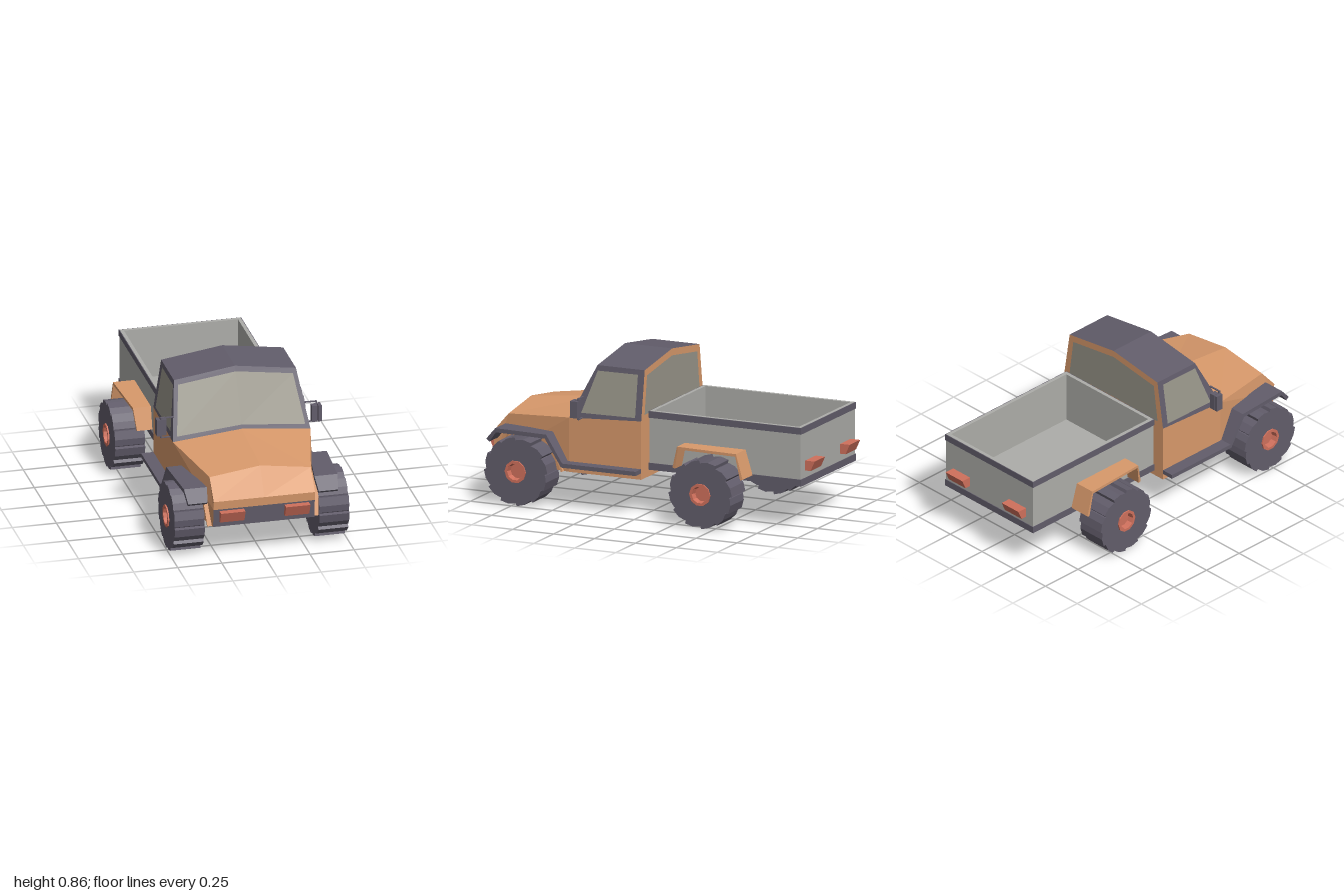
import * as THREE from 'three';

const mat = (name, color) => new THREE.MeshStandardMaterial({ name, color, flatShading: true, side: THREE.DoubleSide });

// Flat polygons (counter-clockwise from outside), optionally mirrored across x = 0
function faces(polys, mirror = true) {
  const pos = [];
  const add = (p) => {
    for (let i = 1; i < p.length - 1; i++) pos.push(...p[0], ...p[i], ...p[i + 1]);
  };
  for (const p of polys) {
    add(p);
    if (mirror) add(p.map(([x, y, z]) => [-x, y, z]).reverse());
  }
  const g = new THREE.BufferGeometry();
  g.setAttribute('position', new THREE.Float32BufferAttribute(pos, 3));
  g.computeVertexNormals();
  return g;
}

// Point on a four-cornered panel
function onPanel([a, b, c, d], [u, v]) {
  return a.map((_, k) => (a[k] * (1 - u) + b[k] * u) * (1 - v) + (d[k] * (1 - u) + c[k] * u) * v);
}

// Folded strip along [z, y, xInner, xOuter] points (z increasing), with thickness t
function strip(path, t) {
  const n = path.length;
  const sections = path.map(([z, y, xi, xo], i) => {
    const a = path[Math.max(0, i - 1)], b = path[Math.min(n - 1, i + 1)];
    const l = Math.hypot(b[0] - a[0], b[1] - a[1]);
    const oz = (b[1] - a[1]) / l * t, oy = -(b[0] - a[0]) / l * t;
    return [[xi, y, z], [xo, y, z], [xo, y + oy, z + oz], [xi, y + oy, z + oz]];
  });
  const polys = [[...sections[0]].reverse(), sections[n - 1]];
  for (let i = 0; i < n - 1; i++) {
    const r = sections[i], f = sections[i + 1];
    for (let k = 0; k < 4; k++) {
      const m = (k + 1) % 4;
      polys.push([f[k], f[m], r[m], r[k]]);
    }
  }
  return faces(polys);
}

// Rectangular ring standing on y0
function ring(x, z, w, y0, y1, zc) {
  const rect = (P, a, b) => new P([[-a, -b], [a, -b], [a, b], [-a, b]].map((p) => new THREE.Vector2(...p)));
  const s = rect(THREE.Shape, x, z);
  s.holes.push(rect(THREE.Path, x - w, z - w));
  return new THREE.ExtrudeGeometry(s, { depth: y1 - y0, bevelEnabled: false }).rotateX(-Math.PI / 2).translate(0, y0, zc);
}

export function createModel() {
  const orange = mat('orange paint', 0xd8996b), dark = mat('dark trim', 0x625d6b);
  const grey = mat('grey bed', 0xadada9), red = mat('red lamps', 0xcf705c), glass = mat('glass', 0x989589);
  const model = new THREE.Group();
  const add = (name, geo, m, parent = model) => {
    const mesh = new THREE.Mesh(geo, m);
    mesh.name = name;
    parent.add(mesh);
    return mesh;
  };
  const box = (name, m, x0, x1, y0, y1, z0, z1, parent) =>
    add(name, new THREE.BoxGeometry(x1 - x0, y1 - y0, z1 - z0).translate((x0 + x1) / 2, (y0 + y1) / 2, (z0 + z1) / 2), m, parent);

  // Cab key points on the left half
  const A = [0.39, 0.507, 0.45], B = [0, 0.546, 0.45], C = [0, 0.86, 0.298], D = [0.346, 0.81, 0.298];
  const E = [0.39, 0.53, 0.01], F = [0.346, 0.81, 0.01], G = [0, 0.86, 0.01], H = [0, 0.53, 0.01];
  const lowRear = [0.39, 0.2, 0.01], lowMid = [0.39, 0.2, 0.45], lowNose = [0.287, 0.2, 0.95];
  const hoodEdge = [0.287, 0.465, 0.87], hoodMid = [0, 0.505, 0.87];
  const nose = [0.287, 0.355, 0.965], bumperTop = [0.287, 0.305, 0.96];
  const mid = ([, y, z]) => [0, y, z];

  add('cabBody', faces([
    [B, hoodMid, hoodEdge, A],
    [mid(nose), nose, hoodEdge, hoodMid],
    [mid(bumperTop), bumperTop, nose, mid(nose)],
    [lowMid, lowRear, E, A],
    [lowNose, lowMid, A, hoodEdge, nose, bumperTop],
    [lowRear, mid(lowRear), H, E],
    [mid(lowRear), lowRear, lowMid, lowNose, mid(lowNose)],
  ]), orange);
  add('frontBumper', faces([[mid(lowNose), lowNose, bumperTop, mid(bumperTop)]]), dark);
  add('roof', faces([[C, D, F, G]]), dark);

  // Windows: a frame ring around a glass pane, both on the same panel
  const window = (name, quad, uv, frameMat) => {
    const inner = uv.map((p) => onPanel(quad, p));
    const frame = [];
    for (let i = 0; i < 4; i++) {
      const j = (i + 1) % 4;
      if (quad[i][0] === 0 && quad[j][0] === 0) continue;
      frame.push([quad[i], quad[j], inner[j], inner[i]]);
    }
    add(name + 'Frame', faces(frame), frameMat);
    add(name + 'Glass', faces([inner]), glass);
  };
  window('windshield', [B, A, D, C], [[0, 0.065], [0.94, 0.075], [0.93, 0.91], [0, 0.91]], dark);
  window('sideWindow', [A, E, F, D], [[0.13, 0.1], [0.91, 0.06], [0.87, 0.9], [0.06, 0.9]], dark);
  window('rearWindow', [E, H, G, F], [[0.1, 0.1], [1, 0.1], [1, 0.88], [0.1, 0.86]], orange);

  // Running boards rising into the front fenders, with painted arches below
  add('frontFenders', strip([
    [0.01, 0.26, 0.385, 0.46], [0.46, 0.26, 0.385, 0.46], [0.56, 0.412, 0.355, 0.455],
    [0.88, 0.412, 0.305, 0.435], [0.94, 0.345, 0.315, 0.425],
  ], 0.024), dark);
  add('frontArches', strip([
    [0.485, 0.2, 0.37, 0.4], [0.58, 0.385, 0.35, 0.38], [0.86, 0.385, 0.28, 0.33], [0.935, 0.2, 0.28, 0.315],
  ], 0.012), orange);
  add('rearFenders', strip([
    [-0.648, 0.285, 0.34, 0.47], [-0.605, 0.425, 0.34, 0.465], [-0.235, 0.425, 0.34, 0.445], [-0.2, 0.3, 0.34, 0.43],
  ], 0.016), orange);

  // Cargo bed: open tub with dark bands around the outside
  add('bedWalls', ring(0.343, 0.462, 0.02, 0.25, 0.583, -0.48), grey);
  box('bedFloor', grey, -0.33, 0.33, 0.251, 0.29, -0.93, -0.03);
  add('bedTopBand', ring(0.347, 0.466, 0.004, 0.545, 0.582, -0.48), dark);
  add('bedBottomBand', ring(0.347, 0.466, 0.004, 0.251, 0.29, -0.48), dark);

  // Saw-toothed tyre outline
  const teeth = 12, tyrePts = [];
  for (let i = 0; i < teeth; i++) {
    for (const [f, r] of [[0, 0.176], [0.06, 0.194], [0.55, 0.19], [0.94, 0.18]]) {
      const a = (i + f) / teeth * Math.PI * 2;
      tyrePts.push(new THREE.Vector2(Math.cos(a) * r, Math.sin(a) * r));
    }
  }
  const tyreShape = new THREE.Shape(tyrePts);
  tyreShape.holes.push(new THREE.Path().absarc(0, 0, 0.06, 0, Math.PI * 2, true));
  const tyreGeo = new THREE.ExtrudeGeometry(tyreShape, { depth: 0.17, bevelEnabled: false, curveSegments: 10 })
    .translate(0, 0, -0.085).rotateY(Math.PI / 2);
  // Hub with a recess on both faces
  const hubProfile = [[0, -0.06], [0.042, -0.06], [0.048, -0.093], [0.064, -0.093], [0.064, 0.093], [0.048, 0.093], [0.042, 0.06], [0, 0.06]];
  const hubGeo = new THREE.LatheGeometry(hubProfile.map((p) => new THREE.Vector2(...p)), 10).rotateZ(-Math.PI / 2);

  for (const s of [1, -1]) {
    const side = s > 0 ? 'left' : 'right';
    for (const [end, x, z] of [['Front', 0.41, 0.727], ['Rear', 0.46, -0.425]]) {
      const wheel = new THREE.Group();
      wheel.name = side + end + 'Wheel';
      add('tyre', tyreGeo, dark, wheel);
      add('hub', hubGeo, red, wheel);
      wheel.position.set(s * x, 0.194, z);
      model.add(wheel);
    }

    // Lamps with an undercut lower edge
    const lamp = (name, x0, x1, y0, y1, zBase, zTop, zLow) => {
      const sec = (x) => [[x, y0, zBase], [x, y0, zLow], [x, y1, zTop], [x, y1, zBase]];
      const a = sec(x0), b = sec(x1);
      const polys = [[...b].reverse(), a];
      for (let k = 0; k < 4; k++) polys.push([a[k], b[k], b[(k + 1) % 4], a[(k + 1) % 4]].reverse());
      const out = (zTop > zBase ? 1 : -1) * s;
      const g = faces(polys.map((p) => {
        const q = p.map(([x, y, z]) => [x * s, y, z]);
        return out > 0 ? q.reverse() : q;
      }), false);
      add(side + name, g, red);
    };
    lamp('Headlamp', 0.115, 0.253, 0.232, 0.296, 0.945, 1, 0.972);
    lamp('TailLamp', 0.155, 0.287, 0.33, 0.386, -0.94, -1, -0.975);

    // Wing mirror: shell, backing plate and thin bracket
    const mirror = new THREE.Group();
    mirror.name = side + 'Mirror';
    box('mirrorShell', dark, 0.41, 0.441, 0.525, 0.62, 0.372, 0.41, mirror);
    box('mirrorPlate', dark, 0.445, 0.465, 0.525, 0.62, 0.365, 0.41, mirror);
    box('bracketTop', dark, 0.37, 0.442, 0.629, 0.634, 0.365, 0.375, mirror);
    box('bracketBottom', dark, 0.385, 0.442, 0.512, 0.517, 0.365, 0.375, mirror);
    box('bracketPost', dark, 0.439, 0.446, 0.512, 0.634, 0.365, 0.375, mirror);
    if (s < 0) mirror.rotation.y = Math.PI, mirror.position.z = 0.76;
    model.add(mirror);
  }
  return model;
}
